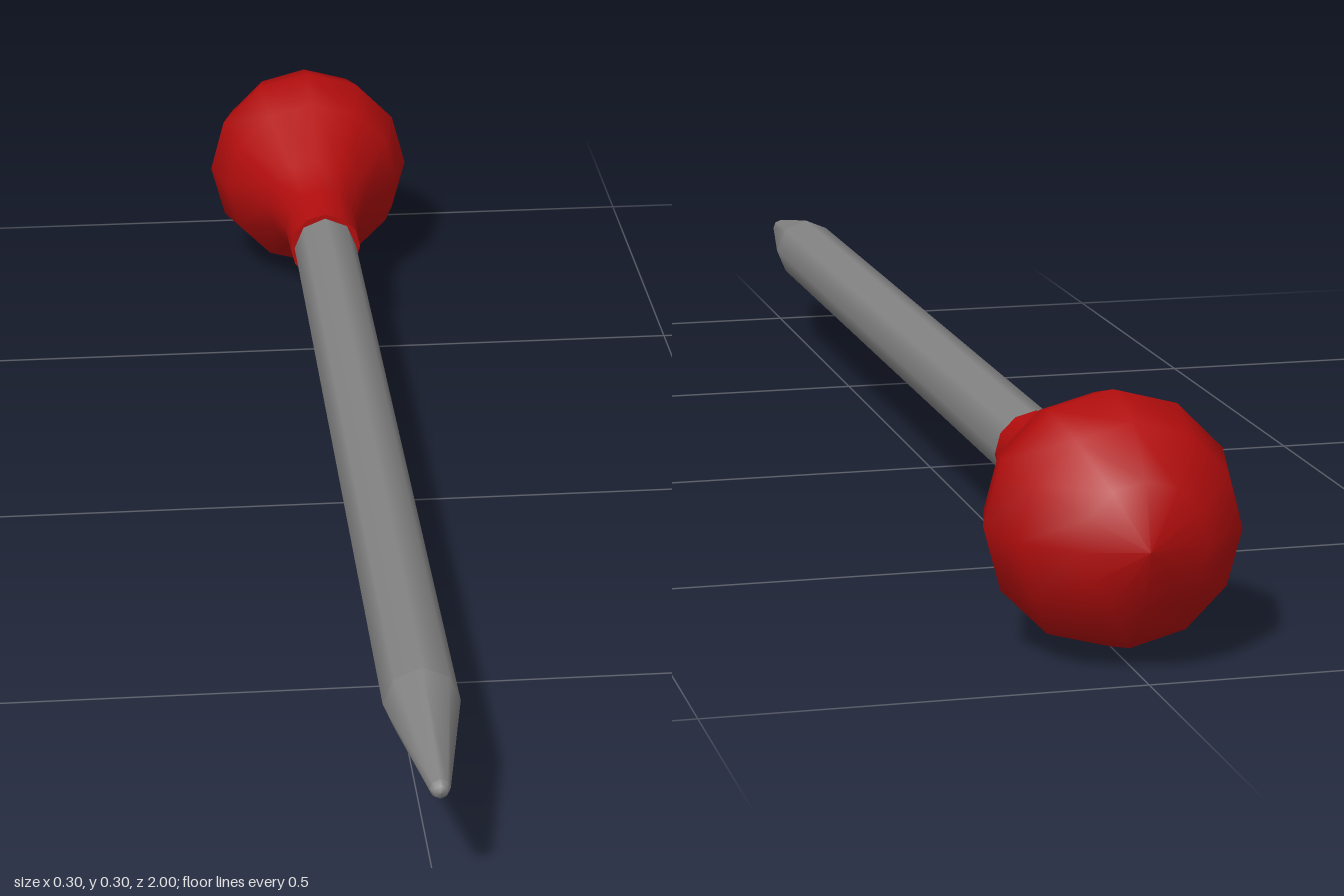
import * as THREE from 'three';

const red = new THREE.MeshStandardMaterial({ color: 0xb20d0d });
red.name = 'red plastic';
const steel = new THREE.MeshStandardMaterial({ color: 0x838383 });
steel.name = 'grey steel';

// Turned surface along z; profile is [radius, z] pairs from back to front
function turned(name, profile, sides, material) {
  const points = profile.map(([r, z]) => new THREE.Vector2(r, z));
  const geometry = new THREE.LatheGeometry(points, sides).rotateX(Math.PI / 2);
  const mesh = new THREE.Mesh(geometry, material);
  mesh.name = name;
  return mesh;
}

export function createModel() {
  const pin = new THREE.Group();
  pin.name = 'pin';
  pin.position.y = 0.15;

  // Round head flowing into a narrow neck
  const R = 0.149, centre = -0.851;
  const head = [];
  for (let i = 0; i <= 4; i++) {
    const a = (i * Math.PI) / 6;
    head.push([R * Math.sin(a), centre - R * Math.cos(a)]);
  }
  head.push([0.072, -0.695], [0.053, -0.615], [0.051, -0.53]);
  pin.add(turned('head', head, 12, red));
  pin.add(turned('neckRim', [[0.051, -0.53], [0, -0.53]], 12, red));

  // Straight shaft, tapered point and blunt tip
  pin.add(turned('shaft', [[0.045, -0.56], [0.045, 0.8]], 8, steel));
  pin.add(turned('point', [[0.045, 0.8], [0.012, 0.99]], 8, steel));
  pin.add(turned('tip', [[0.012, 0.99], [0.008, 0.998], [0, 1]], 8, steel));

  const model = new THREE.Group();
  model.name = 'model';
  model.add(pin);
  return model;
}
